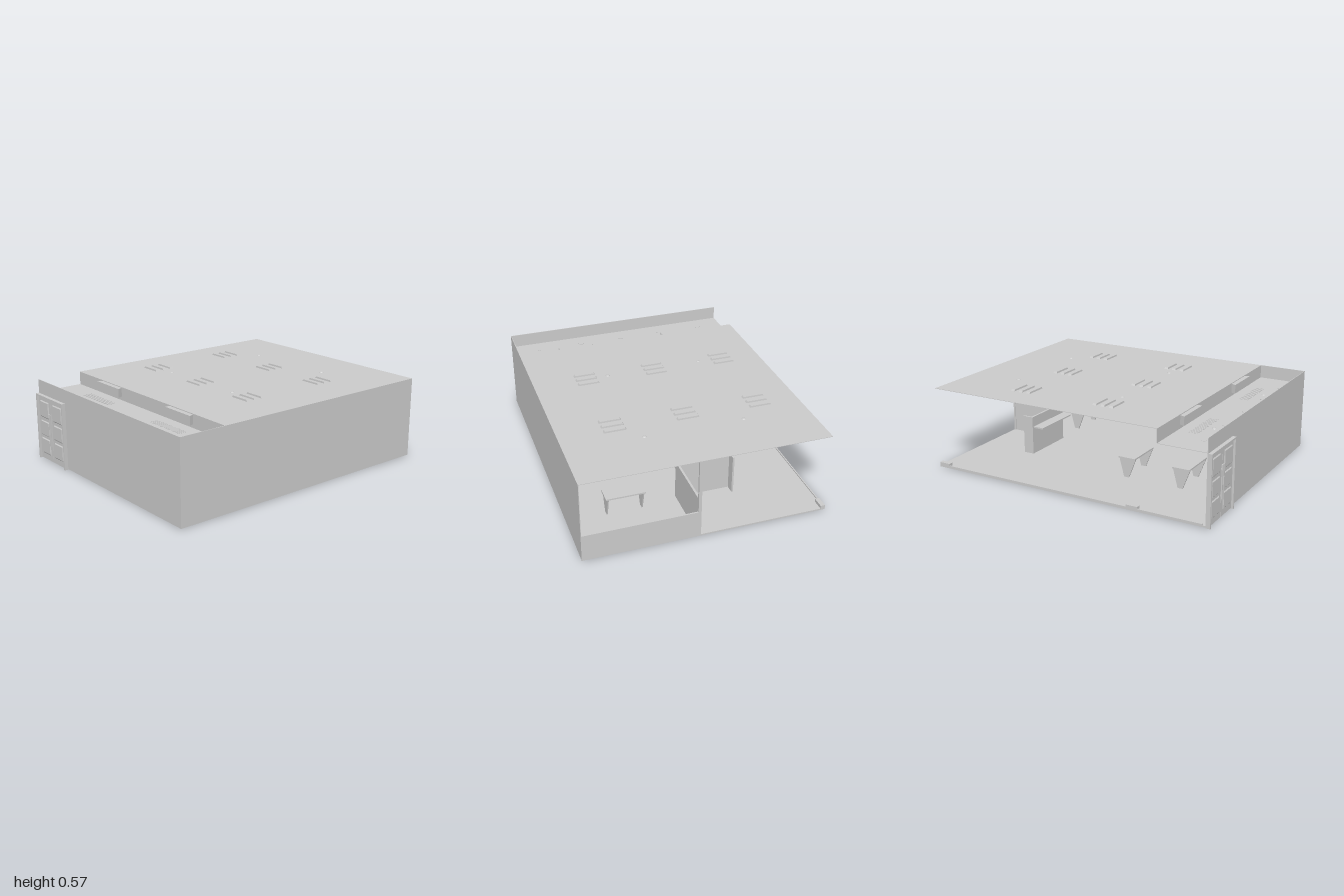
import * as THREE from 'three';

const material = new THREE.MeshStandardMaterial({ color: 0xcccccc, side: THREE.DoubleSide, flatShading: true });
const smooth = new THREE.MeshStandardMaterial({ color: 0xcccccc });

export function createModel() {
  const model = new THREE.Group();

  const add = (name, geometry, parent = model, mat = material) => {
    const mesh = new THREE.Mesh(geometry, mat);
    mesh.name = name;
    parent.add(mesh);
    return mesh;
  };
  // Box given by its lower and upper corners
  const box = (name, x0, x1, y0, y1, z0, z1, parent = model) => {
    const mesh = add(name, new THREE.BoxGeometry(x1 - x0, y1 - y0, z1 - z0), parent);
    mesh.position.set((x0 + x1) / 2, (y0 + y1) / 2, (z0 + z1) / 2);
    return mesh;
  };
  const group = (name, x = 0, y = 0, z = 0) => {
    const g = new THREE.Group();
    g.name = name;
    g.position.set(x, y, z);
    model.add(g);
    return g;
  };

  // Shell: floor, right wall, ceiling in two levels; the left side stays open
  const top = 0.555, low = 0.465, step = 0.65, front = 0.975;
  box('floor', -0.8, 0.8, 0.004, 0.014, -1, front);
  box('rightWall', 0.796, 0.8, 0.012, top, -1, front);
  box('mainCeiling', -0.8, 0.8, top - 0.003, top, -1, step);
  box('ceilingStep', -0.8, 0.796, low, top - 0.003, step - 0.003, step);
  box('lowCeiling', -0.8, 0.796, low - 0.003, low, step, front - 0.004);

  // Front wall with the doorway cut out of its lower corner
  const wall = new THREE.Shape();
  [[-0.8, 0.45], [-0.465, 0.45], [-0.465, 0.01], [0.8, 0.01], [0.8, top], [-0.8, top]]
    .forEach(([x, y], i) => (i ? wall.lineTo(x, y) : wall.moveTo(x, y)));
  add('frontWall', new THREE.ExtrudeGeometry(wall, { depth: 0.004, bevelEnabled: false })).position.z = front - 0.004;

  // Back side: half wall under a window, with a post beside the open half
  box('backHalfWall', 0.06, 0.8, 0.014, 0.185, -1, -0.99);
  box('backPost', 0.045, 0.065, 0.014, top - 0.003, -1, -0.985);

  // Low edge along the open left side
  box('leftSill', -0.8, -0.792, 0.014, 0.022, -0.95, 0.95);
  for (const z of [-0.96, 0.48]) box('sillBlock', -0.8, -0.77, 0.014, 0.035, z - 0.04, z + 0.04);

  // Double entrance door
  const door = group('entranceDoor');
  box('doorFrameLeft', -0.467, -0.455, 0, 0.46, 0.97, 1, door);
  box('doorFrameRight', -0.8, -0.788, 0, 0.46, 0.97, 1, door);
  box('doorFrameTop', -0.788, -0.467, 0.448, 0.46, 0.97, 1, door);
  for (const side of [-1, 1]) {
    const cx = -0.6275 + side * 0.0805;
    box('doorLeaf', cx - 0.079, cx + 0.079, 0.005, 0.447, 0.976, 0.986, door);
    for (const [y0, y1] of [[0.045, 0.155], [0.175, 0.28], [0.303, 0.42]]) {
      // Raised panel with chamfered edges, on both faces
      for (const face of [-1, 1]) {
        const panel = add('doorPanel', new THREE.CylinderGeometry(0.62, 0.7071, 0.005, 4, 1).rotateY(Math.PI / 4), door);
        panel.scale.set(0.112, 1, y1 - y0);
        panel.rotation.x = face * Math.PI / 2;
        panel.position.set(cx + side * 0.004, (y0 + y1) / 2, 0.981 + face * 0.0075);
      }
    }
    const hx = -0.6275 + side * 0.011;
    for (const face of [-1, 1]) {
      const z = 0.981 + face * 0.014;
      box('doorHandle', hx - 0.005, hx + 0.005, 0.12, 0.345, z - 0.004, z + 0.004, door);
      for (const y of [0.15, 0.315]) box('handleMount', hx - 0.003, hx + 0.003, y - 0.005, y + 0.005, Math.min(z, 0.981), Math.max(z, 0.981), door);
    }
  }

  // Air vents: three chamfered slats in a group
  for (const x of [-0.53, -0.037, 0.441]) {
    for (const z of [-0.455, 0.165]) {
      const vent = group('ceilingVent', x, top, z);
      for (const dz of [-0.06, 0, 0.06]) {
        const slat = add('ventSlat', new THREE.CylinderGeometry(0.63, 0.7071, 0.012, 4, 1).rotateY(Math.PI / 4), vent);
        slat.scale.set(0.148, 1, 0.027);
        slat.position.set(0, 0.005, dz);
      }
    }
  }

  // Sprinkler domes
  const sprinklers = [[-0.365, -0.64, top], [0.29, -0.64, top], [-0.365, 0.17, top], [0.29, 0.17, top], [-0.4, 0.83, low], [0.4, 0.83, low]];
  for (const [x, z, y] of sprinklers) {
    const dome = add('sprinkler', new THREE.SphereGeometry(0.015, 16, 10), model, smooth);
    dome.scale.y = 0.5;
    dome.position.set(x, y - 0.002, z);
  }

  // Round lights set in the low ceiling
  for (const x of [-0.62, -0.313, -0.005, 0.303, 0.613]) {
    add('downlight', new THREE.CylinderGeometry(0.019, 0.019, 0.008, 24)).position.set(x, low - 0.002, 0.865);
  }

  // Housings on the ceiling step, each with a slotted grille in front
  for (const x of [-0.387, 0.383]) {
    const housing = new THREE.Shape();
    housing.moveTo(-0.115, 0);
    housing.lineTo(0.115, 0);
    housing.lineTo(0.128, -0.033);
    housing.lineTo(-0.128, -0.033);
    const body = add('stepHousing', new THREE.ExtrudeGeometry(housing, { depth: 0.06, bevelEnabled: false }).rotateX(-Math.PI / 2));
    body.position.set(x, 0.49, step);
    const grille = group('ceilingGrille', x, low, 0.753);
    for (let i = 0; i < 20; i++) {
      const bx = -0.147 + i * 0.0155;
      box('grilleBar', bx - 0.004, bx + 0.004, -0.005, 0.002, -0.03, 0.03, grille);
    }
  }

  // L-shaped counter by the open back, with a short return at its end
  box('counterSide', 0.05, 0.064, 0.014, 0.28, -0.985, -0.576);
  box('counterFront', -0.3, 0.05, 0.014, 0.28, -0.59, -0.576);
  box('counterReturn', -0.312, -0.3, 0.014, 0.28, -0.65, -0.576);
  box('counterShelf', -0.3, 0.05, 0.2, 0.21, -0.576, -0.5);

  // Benches on tapered end supports
  const support = new THREE.Shape();
  [[-0.06, 0.13], [0.06, 0.13], [0.025, 0], [-0.01, 0]].forEach(([x, y], i) => (i ? support.lineTo(x, y) : support.moveTo(x, y)));
  for (const [x, z] of [[0.42, -0.6], [-0.25, 0.21], [-0.25, 0.6]]) {
    const bench = group('bench', x, 0.014, z);
    box('benchTop', -0.13, 0.13, 0.13, 0.14, -0.06, 0.06, bench);
    for (const s of [-0.12, 0.112]) {
      const leg = add('benchSupport', new THREE.ExtrudeGeometry(support, { depth: 0.008, bevelEnabled: false }).rotateY(Math.PI / 2), bench);
      leg.position.x = s;
    }
  }
  return model;
}
